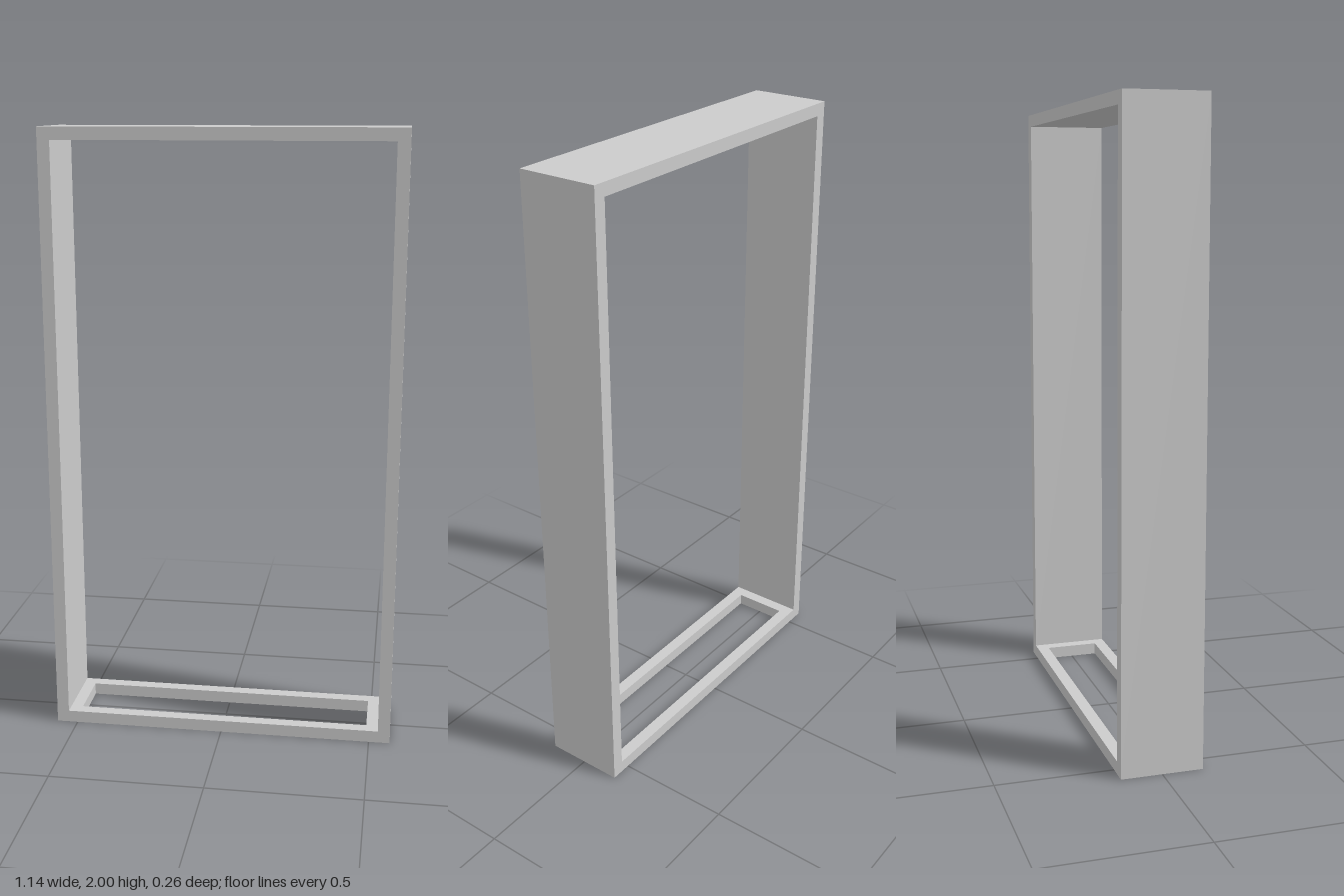
import * as THREE from 'three';

const W = 1.14, H = 2, D = 0.26, T = 0.04; // outer size and board thickness

export function createModel() {
  const group = new THREE.Group();
  const material = new THREE.MeshStandardMaterial({ color: 0xcccccc, flatShading: true });

  const rect = (Shape, w, h, cy = 0) => new Shape([
    [-w / 2, cy - h / 2], [w / 2, cy - h / 2], [w / 2, cy + h / 2], [-w / 2, cy + h / 2],
  ].map(([x, y]) => new THREE.Vector2(x, y)));

  const add = (name, geometry) => {
    const mesh = new THREE.Mesh(geometry, material);
    mesh.name = name;
    group.add(mesh);
  };

  // Top and side boards: one arch profile, open at the bottom, extruded to full depth
  const arch = new THREE.Shape([
    [-W / 2, T], [-W / 2 + T, T], [-W / 2 + T, H - T], [W / 2 - T, H - T],
    [W / 2 - T, T], [W / 2, T], [W / 2, H], [-W / 2, H],
  ].map(([x, y]) => new THREE.Vector2(x, y)));
  add('topAndSideBoards', new THREE.ExtrudeGeometry(arch, { depth: D, bevelEnabled: false })
    .translate(0, 0, -D / 2));

  // Base: flat frame with a long rectangular opening
  const base = rect(THREE.Shape, W, D);
  base.holes.push(rect(THREE.Path, W - 4 * T, D - 2 * T));
  add('baseFrame', new THREE.ExtrudeGeometry(base, { depth: T, bevelEnabled: false })
    .rotateX(-Math.PI / 2));

  return group;
}
